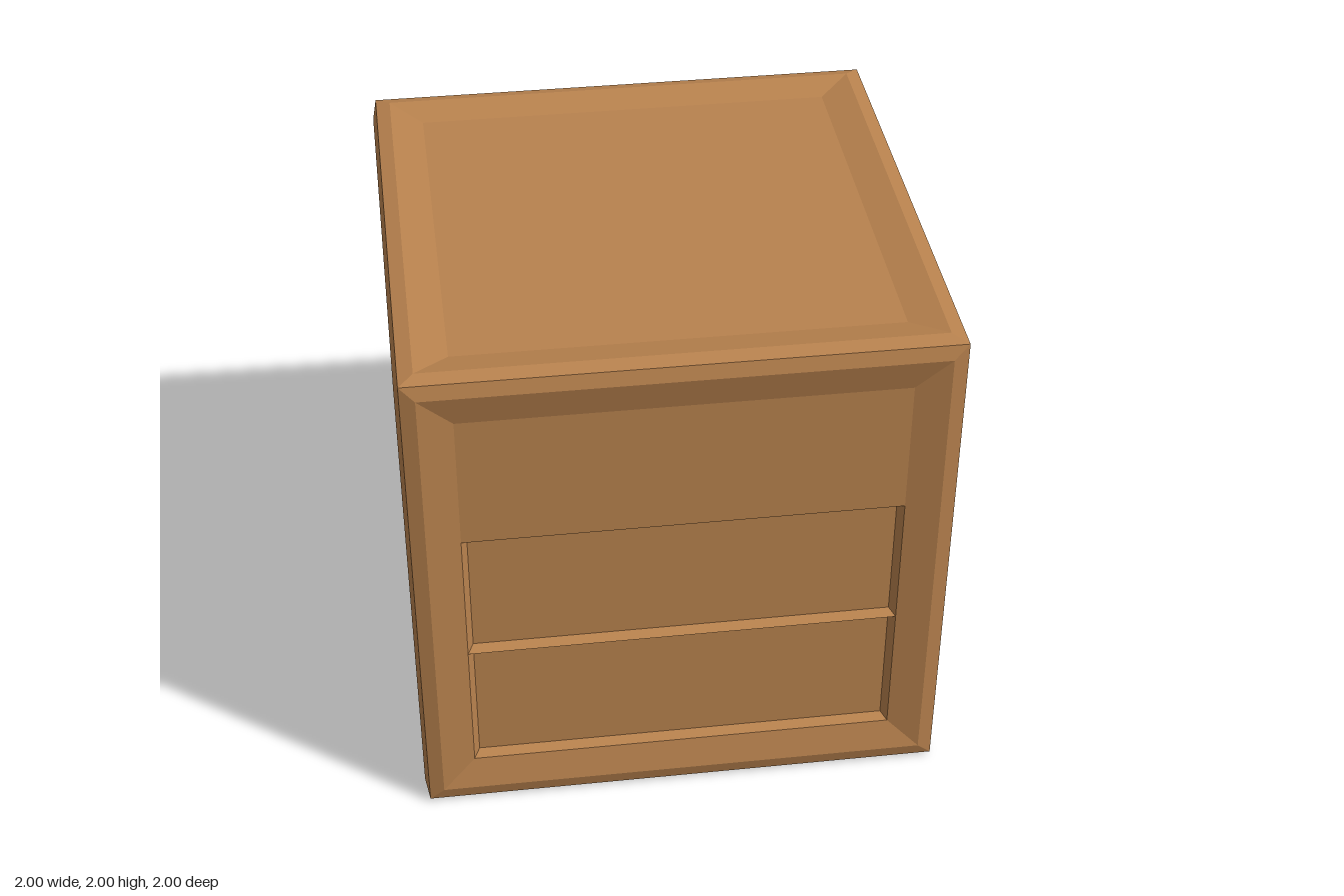
import * as THREE from 'three';

const wood = new THREE.MeshStandardMaterial({ color: 0xb8824e, flatShading: true });

// Corners of a rectangle at depth z, counter-clockwise seen from +z
const rect = (halfW, y0, y1, z) => [[-halfW, y0, z], [halfW, y0, z], [halfW, y1, z], [-halfW, y1, z]];
const square = (half, z) => rect(half, -half, half, z);

// Two triangles for a rectangle
const fill = ([a, b, c, d]) => [a, b, c, a, c, d];

// Four mitred strips joining an outer rectangle to an inner one
function border(outer, inner) {
  return outer.flatMap((p, i) => {
    const j = (i + 1) % 4;
    return fill([p, outer[j], inner[j], inner[i]]);
  });
}

function toGeometry(points) {
  const geometry = new THREE.BufferGeometry();
  geometry.setAttribute('position', new THREE.Float32BufferAttribute(points.flat(), 3));
  geometry.computeVertexNormals();
  return geometry;
}

export function createModel() {
  const crate = new THREE.Group();
  crate.name = 'crate';

  const EDGE = 0.985, RIM = 0.93, PANEL = 0.805;
  const PANEL_Z = 0.97, TRAY_Z = 0.937;

  // Chamfered outer edge, then a slope down to the sunken panel
  const frame = toGeometry([
    ...border(square(EDGE, EDGE), square(RIM, 1)),
    ...border(square(RIM, 1), square(PANEL, PANEL_Z)),
  ]);

  // Plain panel for the lid and base
  const plainPanel = toGeometry(fill(square(PANEL, PANEL_Z)));

  // Side panel: flat upper board over two deeper bevelled boards
  const upperBoard = toGeometry(fill(rect(PANEL, 0.273, PANEL, PANEL_Z)));
  const lowerBoards = [[-0.264, 0.273], [-PANEL, -0.264]].map(([y0, y1]) => {
    const inner = rect(PANEL - 0.022, y0 + 0.021, y1 - 0.025, TRAY_Z);
    return toGeometry([...border(rect(PANEL, y0, y1, PANEL_Z), inner), ...fill(inner)]);
  });

  const addFace = (name, rx, ry, parts) => {
    const face = new THREE.Group();
    face.name = name;
    for (const [partName, geometry] of parts) {
      const mesh = new THREE.Mesh(geometry, wood);
      mesh.name = partName;
      face.add(mesh);
    }
    face.rotation.set(rx, ry, 0);
    face.position.y = 1;
    crate.add(face);
  };

  // Four matching sides
  ['frontSide', 'leftSide', 'backSide', 'rightSide'].forEach((name, i) => {
    addFace(name, 0, i * Math.PI / 2, [
      ['frame', frame],
      ['upperBoard', upperBoard],
      ['middleBoard', lowerBoards[0]],
      ['bottomBoard', lowerBoards[1]],
    ]);
  });

  // Lid and base
  addFace('lid', -Math.PI / 2, 0, [['frame', frame], ['panel', plainPanel]]);
  addFace('base', Math.PI / 2, 0, [['frame', frame], ['panel', plainPanel]]);

  return crate;
}
